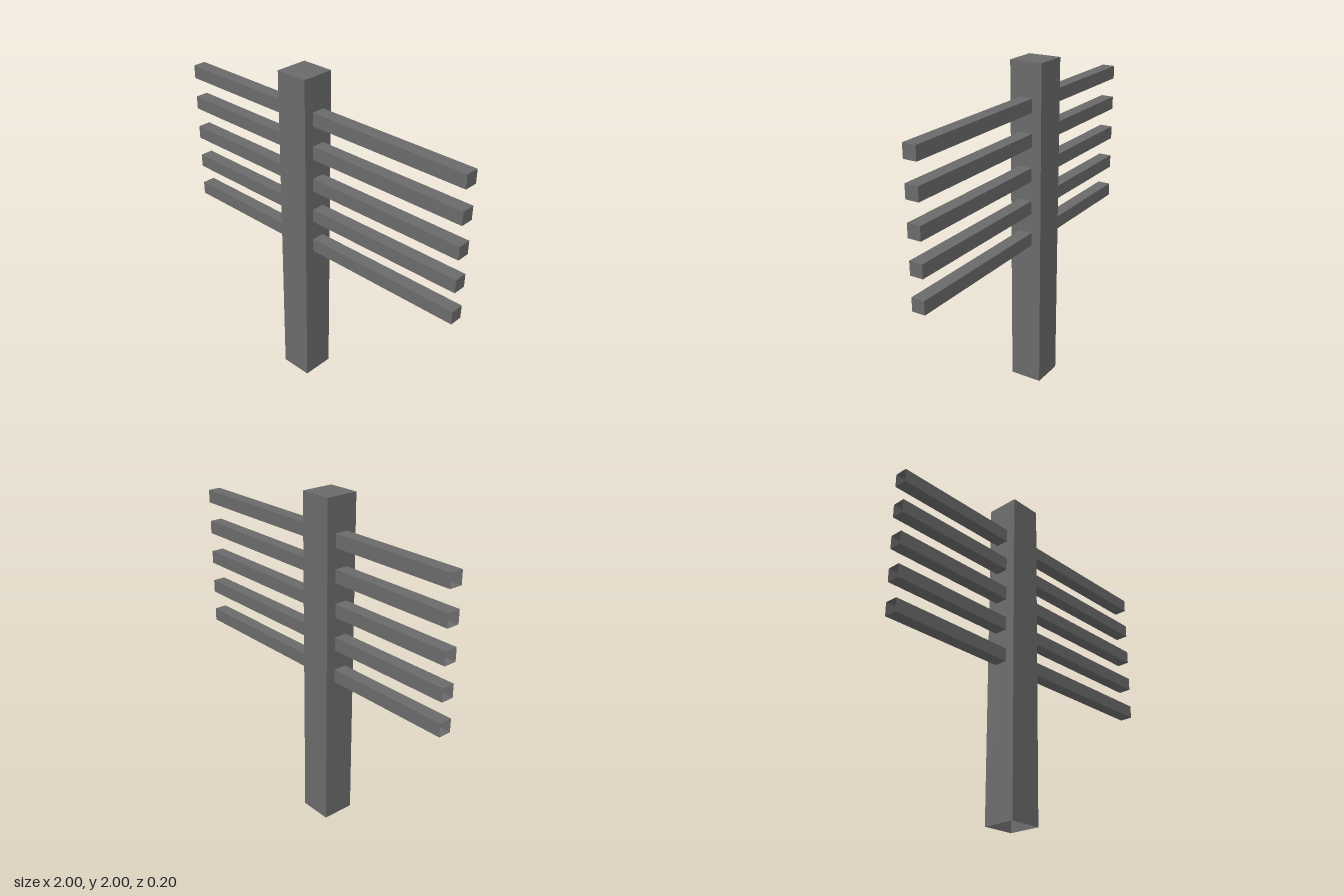
import * as THREE from 'three';

// Square beam standing on its open lower end, from y = 0 to y = length
function beamGeometry(width, length) {
  const g = new THREE.BoxGeometry(width, length, width);
  const index = Array.from(g.index.array);
  index.splice(18, 6); // drop the lower cap
  g.setIndex(index);
  g.clearGroups();
  return g.translate(0, length / 2, 0);
}

export function createModel() {
  const model = new THREE.Group();
  model.name = 'postWithCrossbars';

  const grey = new THREE.MeshStandardMaterial({ color: 0x6a6a6a, side: THREE.DoubleSide });
  grey.name = 'grey';

  // Upright post, set off centre
  const post = new THREE.Mesh(beamGeometry(0.2, 2), grey);
  post.name = 'post';
  post.position.x = -0.1;
  model.add(post);

  // Five crossbars running through the post, open at the -x end
  const barGeometry = beamGeometry(0.08, 2).rotateZ(-Math.PI / 2);
  for (let i = 0; i < 5; i++) {
    const bar = new THREE.Mesh(barGeometry, grey);
    bar.name = `crossbar${i + 1}`;
    bar.position.set(-1, 0.96 + i * 0.2, 0);
    model.add(bar);
  }

  return model;
}
